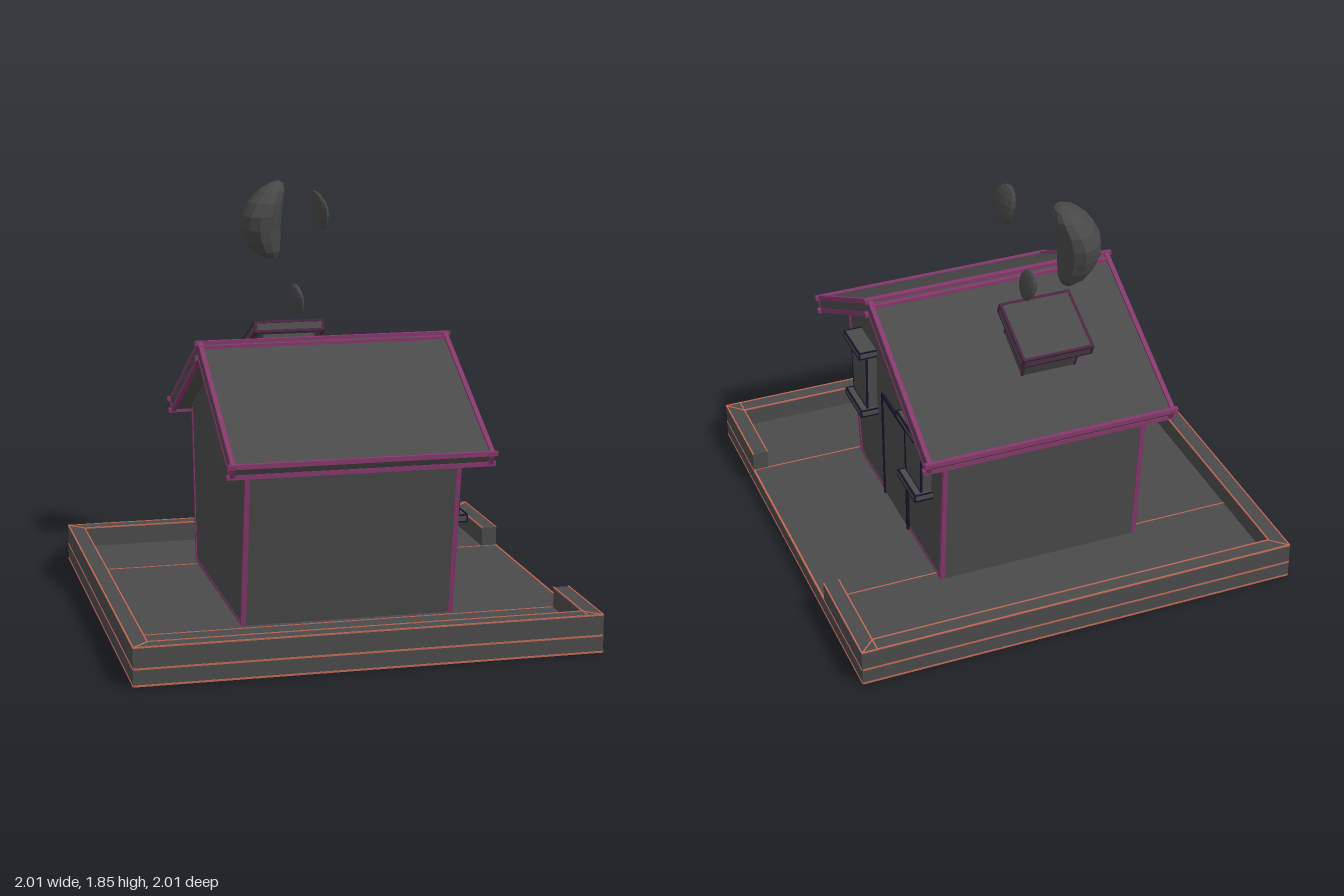
import * as THREE from 'three';

const mat = (color, flat = false) => new THREE.MeshStandardMaterial({ color, flatShading: flat });

export function createModel() {
  const model = new THREE.Group();
  const grey = mat(0x4a4a4a), pink = mat(0x84386a), plum = mat(0x4a2440);
  const orange = mat(0xc06858), navy = mat(0x14142c), smoke = mat(0x484848, true);

  function add(parent, name, geometry, material) {
    const mesh = new THREE.Mesh(geometry, material);
    mesh.name = name;
    parent.add(mesh);
    return mesh;
  }
  function group(name, parent = model) {
    const g = new THREE.Group();
    g.name = name;
    parent.add(g);
    return g;
  }
  // box given by its lower and upper limits on each axis
  function block(parent, name, [x0, x1], [y0, y1], [z0, z1], material = grey) {
    const m = add(parent, name, new THREE.BoxGeometry(x1 - x0, y1 - y0, z1 - z0), material);
    m.position.set((x0 + x1) / 2, (y0 + y1) / 2, (z0 + z1) / 2);
    return m;
  }
  // square strip between two points
  function strip(parent, name, a, b, width, material, extra = 0) {
    const p = new THREE.Vector3(...a), d = new THREE.Vector3(...b).sub(p);
    const m = add(parent, name, new THREE.BoxGeometry(width, d.length() + extra, width), material);
    m.position.copy(p).addScaledVector(d, 0.5);
    m.quaternion.setFromUnitVectors(new THREE.Vector3(0, 1, 0), d.normalize());
  }
  // solid with a [z, y] outline, running along x
  function prism(parent, name, outline, x0, x1, material = grey) {
    const shape = new THREE.Shape(outline.map(([z, y]) => new THREE.Vector2(-z, y)));
    const g = new THREE.ExtrudeGeometry(shape, { depth: x1 - x0, bevelEnabled: false });
    g.rotateY(Math.PI / 2).translate(x0, 0, 0);
    return add(parent, name, g, material);
  }

  // ground slab and low wall, open in front of the door
  const base = group('base');
  const floor = 0.075, rim = 0.165, inner = 0.93;
  block(base, 'groundSlab', [-1, 1], [0, floor], [-1, 1]);
  block(base, 'frontWall', [-1, 1], [floor, rim], [inner, 1]);
  block(base, 'backWall', [-1, 1], [floor, rim], [-1, -inner]);
  block(base, 'rightWall', [-1, -inner], [floor, rim], [-inner, inner]);
  block(base, 'gateWallFront', [inner, 1], [floor, rim], [0.555, inner]);
  block(base, 'gateWallBack', [inner, 1], [floor, rim], [-inner, -0.495]);
  const corners = [[1, 1], [-1, 1], [-1, -1], [1, -1]];
  corners.forEach(([x, z], i) => {
    const [u, w] = corners[(i + 1) % 4];
    for (const y of [0.004, floor]) strip(base, 'baseEdge', [x * 0.998, y, z * 0.998], [u * 0.998, y, w * 0.998], 0.008, orange);
    strip(base, 'wallMitre', [x, rim, z], [x * inner, rim, z * inner], 0.005, orange);
    if (i < 3) for (const s of [0.998, inner])
      strip(base, 'wallEdge', [x * s, rim, z * s], [u * s, rim, w * s], 0.006, orange);
  });
  for (const x of [0.998, inner]) {
    strip(base, 'wallEdge', [x, rim, 0.555], [x, rim, 0.998], 0.006, orange);
    strip(base, 'wallEdge', [x, rim, -0.495], [x, rim, -0.998], 0.006, orange);
  }
  for (const z of [0.555, -0.495]) strip(base, 'floorSeam', [-inner, floor, z], [1, floor, z], 0.005, orange);

  // house body with walls that lean outward
  const house = group('house');
  const body = [[0.515, 0.07], [0.635, 0.815], [0.01, 1.15], [-0.615, 0.815], [-0.545, 0.07]];
  prism(house, 'walls', body, -0.455, 0.478);
  for (const x of [-0.448, 0.471]) {
    strip(house, 'cornerTrim', [x, 0.08, 0.508], [x, 0.8, 0.626], 0.022, pink);
    strip(house, 'cornerTrim', [x, 0.08, -0.538], [x, 0.8, -0.607], 0.022, pink);
    strip(house, 'footTrim', [x, 0.08, 0.508], [x, 0.08, -0.538], 0.018, pink);
  }

  // gabled roof with trim along all its edges
  const roof = group('roof');
  const section = [[0.74, 0.825], [0.01, 1.215], [-0.72, 0.825], [-0.69, 0.775], [0.01, 1.15], [0.71, 0.775]];
  prism(roof, 'roofSlabs', section, -0.54, 0.59);
  section.forEach(([z, y], i) => {
    const [z2, y2] = section[(i + 1) % section.length];
    strip(roof, 'roofLengthTrim', [-0.53, y, z], [0.58, y, z], 0.02, pink, 0.05);
    for (const x of [-0.532, 0.582]) strip(roof, 'rakeTrim', [x, y, z], [x, y2, z2], 0.02, pink, 0.015);
  });
  for (const z of [0.04, -0.02]) strip(roof, 'ridgeTrim', [-0.53, 1.2, z], [0.58, 1.2, z], 0.018, pink);

  // door in the gable wall
  const door = group('door');
  block(door, 'doorPanel', [0.47, 0.484], [0.08, 0.61], [-0.14, 0.16]);
  for (const z of [0.162, -0.142]) strip(door, 'doorJamb', [0.482, 0.075, z], [0.482, 0.62, z], 0.016, navy);
  strip(door, 'doorHead', [0.482, 0.613, 0.17], [0.482, 0.613, -0.15], 0.016, navy);

  // tapered windows with a cap and a sill
  for (const zc of [0.352, -0.355]) {
    const win = group('window');
    const pane = [[zc + 0.09, 0.49], [zc + 0.103, 0.775], [zc - 0.103, 0.775], [zc - 0.09, 0.49]];
    prism(win, 'windowBox', pane, 0.47, 0.528);
    pane.forEach(([z, y], i) => {
      const [z2, y2] = pane[(i + 1) % 4];
      strip(win, 'windowEdge', [0.526, y, z], [0.526, y2, z2], 0.008, navy);
    });
    for (const [name, y0, y1] of [['windowCap', 0.77, 0.8], ['windowSill', 0.46, 0.49]]) {
      block(win, name, [0.47, 0.563], [y0, y1], [zc - 0.107, zc + 0.107]);
      for (const y of [y0, y1]) strip(win, 'windowEdge', [0.56, y, zc - 0.107], [0.56, y, zc + 0.107], 0.007, navy);
      for (const z of [zc - 0.107, zc + 0.107]) {
        strip(win, 'windowEdge', [0.56, y0, z], [0.56, y1, z], 0.007, navy);
        for (const y of [y0, y1]) strip(win, 'windowEdge', [0.475, y, z], [0.56, y, z], 0.006, navy);
      }
    }
  }

  // chimney standing square to the back roof slope
  const chimney = group('chimney');
  chimney.position.set(-0.067, 1.14, -0.393);
  chimney.rotation.x = -0.44;
  block(chimney, 'chimneyStack', [-0.125, 0.125], [-0.16, 0.01], [-0.112, 0.112]);
  block(chimney, 'chimneyCap', [-0.16, 0.16], [0, 0.052], [-0.15, 0.15]);
  for (const s of [-1, 1]) {
    for (const y of [0.004, 0.048]) {
      strip(chimney, 'capTrim', [-0.157, y, s * 0.147], [0.157, y, s * 0.147], 0.012, plum, 0.01);
      strip(chimney, 'capTrim', [s * 0.157, y, -0.147], [s * 0.157, y, 0.147], 0.012, plum, 0.01);
    }
    for (const t of [-1, 1]) {
      strip(chimney, 'capTrim', [s * 0.157, 0, t * 0.147], [s * 0.157, 0.052, t * 0.147], 0.012, plum);
      strip(chimney, 'stackTrim', [s * 0.122, -0.16, t * 0.109], [s * 0.122, 0, t * 0.109], 0.01, plum);
    }
  }

  // bean-shaped smoke puffs: spheres squashed, bent and leaned
  function puff(name, [cx, cy, cz], [rx, ry, rz], bend, leanY, leanZ) {
    const g = new THREE.SphereGeometry(1, 12, 9), p = g.attributes.position;
    for (let i = 0; i < p.count; i++) {
      const X = p.getX(i), Y = p.getY(i), Z = p.getZ(i);
      p.setXYZ(i, cx + rx * X + bend * Y * Y + leanY * Y + leanZ * Z,
        cy + ry * Y, cz + rz * Z * (1 + 0.08 * Math.sin(3 * Y)));
    }
    g.computeVertexNormals();
    add(model, name, g, smoke);
  }
  puff('largeSmokePuff', [-0.135, 1.67, -0.58], [0.098, 0.183, 0.15], 0.07, 0.015, -0.03);
  puff('upperSmokePuff', [0.085, 1.745, -0.302], [0.024, 0.088, 0.073], -0.012, -0.015, 0.012);
  puff('lowerSmokePuff', [-0.02, 1.342, -0.318], [0.022, 0.07, 0.058], 0, -0.012, 0.01);

  return model;
}
